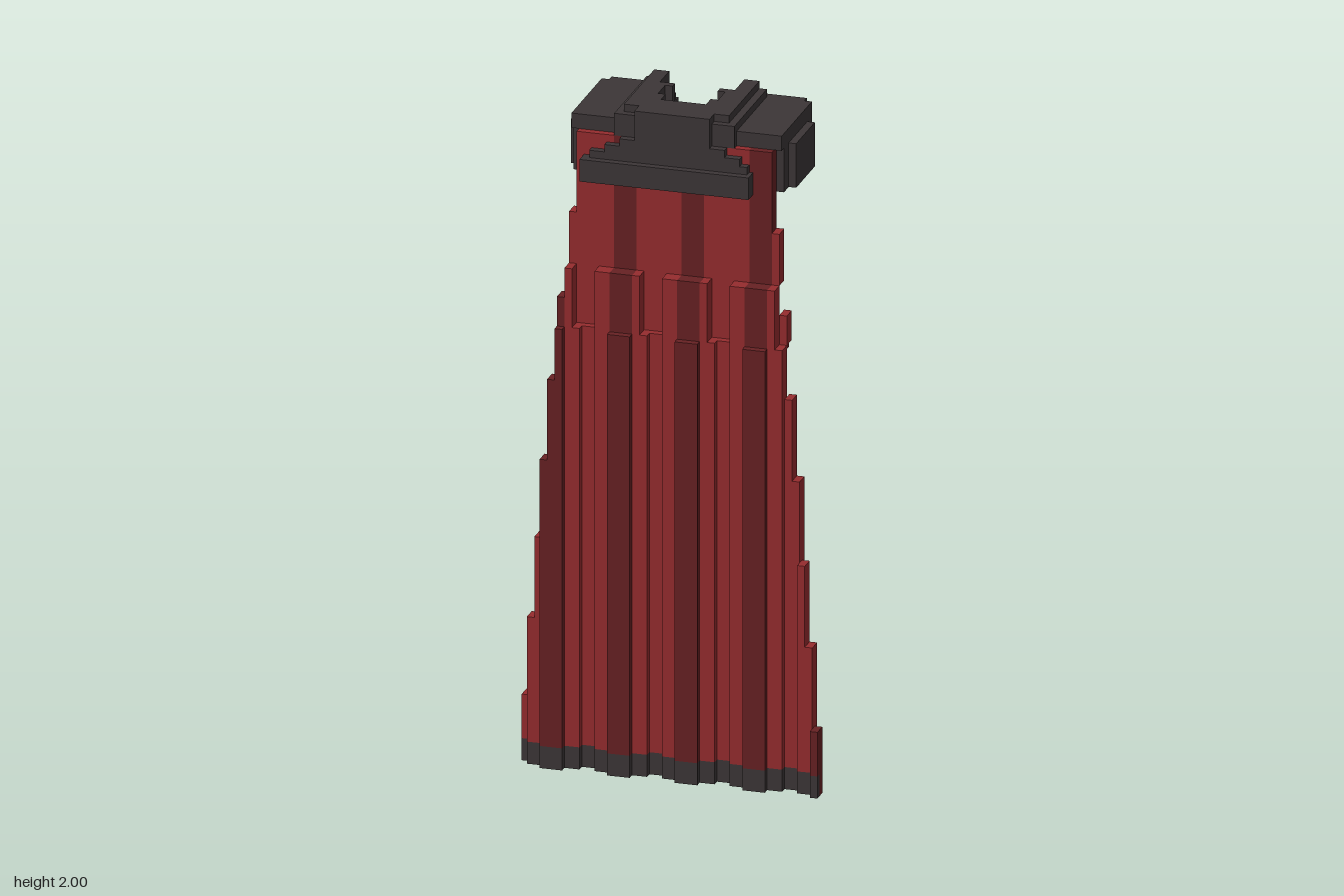
import * as THREE from 'three';
import { mergeGeometries } from 'three/addons/utils/BufferGeometryUtils.js';

const V = 1 / 45; // block size: the model is 90 blocks tall

const material = (name, color) => {
  const m = new THREE.MeshStandardMaterial({ color });
  m.name = name;
  return m;
};

// Box spanning two corners, measured in blocks
function block(x0, x1, y0, y1, z0, z1) {
  const g = new THREE.BoxGeometry((x1 - x0) * V, (y1 - y0) * V, (z1 - z0) * V);
  return g.translate((x0 + x1) / 2 * V, (y0 + y1) / 2 * V, (z0 + z1) / 2 * V);
}

// Folds repeat every nine blocks: a dark ridge, shoulders and a valley
const phase = x => (((x + 8) % 9) + 9) % 9;
const isRidge = x => phase(x) < 3;
function foldDepth(x, y) {
  const p = phase(x);
  if (y >= 68) return 6;
  if (y >= 60) return p < 4 || p > 6 ? 8 : 6;
  if (p < 3) return 9;
  return p === 5 || p === 6 ? 7 : 8;
}

// The cloth narrows by one block on each side every eleven blocks
const halfWidth = y => 20 - Math.max(0, Math.ceil((y - 8) / 11));

// Collar outline: half width, neck gap and top height of each row along z
function outer(r) {
  if (r < -11 || r > 6) return 0;
  if (r < -6) return [6, 9, 11, 12, 13][r + 11];
  return r < -4 || r > 3 ? 14 : 15;
}
function neckGap(r) {
  if (r < -2) return 5;
  if (r > 3) return 0;
  return r >= -1 && r <= 1 ? 4 : 3;
}
const rowTop = r => (r < -6 ? [81, 85, 86, 87, 88][r + 11] : 90);

export function createModel() {
  const red = material('bright red cloth', 0x962c2e);
  const darkRed = material('dark red cloth', 0x672123);
  const grey = material('charcoal trim', 0x3c3637);
  const group = new THREE.Group();
  group.name = 'cape';

  const add = (name, geometries, mat) => {
    const mesh = new THREE.Mesh(mergeGeometries(geometries), mat);
    mesh.name = name;
    group.add(mesh);
  };

  // Cloth, built in bands between the width steps and fold changes
  const bright = [], dark = [], lining = [], hem = [], patch = [];
  const levels = [0, 3, 9, 20, 31, 42, 53, 60, 64, 68, 75, 86];
  for (let i = 0; i < levels.length - 1; i++) {
    const y0 = levels[i], y1 = levels[i + 1], w = halfWidth(y0);
    for (let x = -w; x < w; x++) {
      const z = foldDepth(x, y0);
      const target = isRidge(x) ? dark : bright;
      if (y0 === 0) {
        target.push(block(x, x + 1, y0, y1, z, z + 1));
        hem.push(block(x, x + 1, y0, y1, z + 1, z + 2));
      } else {
        target.push(block(x, x + 1, y0, y1, z, z + 2));
      }
      // Dark lining on the back of the cloth
      lining.push(block(x, x + 1, y0, y1, z - 0.1, z));
    }
  }
  // Closing strips where the folds step back at the yoke
  for (let x = -15; x < 15; x++) {
    const lower = foldDepth(x, 59), upper = foldDepth(x, 60);
    if (lower - upper > 1) dark.push(block(x, x + 1, 59.5, 60, upper + 1, lower));
  }
  // Bright patch in the lining below the collar
  patch.push(block(-2, 2, 77, 79, 5.8, 5.9), block(-1, 1, 76, 80, 5.8, 5.9));
  add('clothPanels', bright, red);
  add('darkFolds', dark, darkRed);
  add('backLining', lining, darkRed);
  add('liningPatch', patch, red);
  add('hem', hem, grey);

  // Shoulder collar: hollow stepped walls, a flat roof and a raised neck
  const layers = [
    { y0: 80, y1: 82, t: 2 }, { y0: 82, y1: 84, t: 3 }, { y0: 84, y1: 86, t: 5 },
    { y0: 86, y1: 88, t: 15, inset: 1 },
    { y0: 88, y1: 89, t: 15, limit: 8 }, { y0: 89, y1: 90, t: 15, limit: 7 },
  ];
  const collar = [];
  for (const { y0, y1, t, inset = 0, limit = 15 } of layers) {
    for (let r = -11; r <= (y0 < 86 ? 5 : 6); r++) {
      const top = Math.min(y1, rowTop(r));
      if (top <= y0) continue;
      const out = Math.min(outer(r) - (r > -5 && r < 4 ? inset : 0), limit);
      const back = outer(Math.max(r - t, -12));
      const hollow = Math.min(back, outer(r)) - t;
      const inner = Math.max(neckGap(r), y0 < 86 && r < 6 ? Math.max(hollow, 0) : 0);
      if (inner >= out) continue;
      for (const s of [-1, 1]) {
        const a = s * inner, b = s * out;
        collar.push(block(Math.min(a, b), Math.max(a, b), y0, top, r, r + 1));
      }
    }
  }
  add('shoulderCollar', collar, grey);

  // Front clasp: narrow at the neck and flared at the bottom
  const clasp = [
    block(-12, 10.5, 80, 83, 8, 10), block(-11, 10, 83, 84, 8, 9),
    block(-9, 9, 84, 85, 8, 9), block(-7, 7, 85, 86, 8, 9),
    block(-8, 8, 86, 89, 7, 8), block(-5, 5, 86, 90, 7, 9),
  ];
  add('frontClasp', clasp, grey);

  return group;
}
